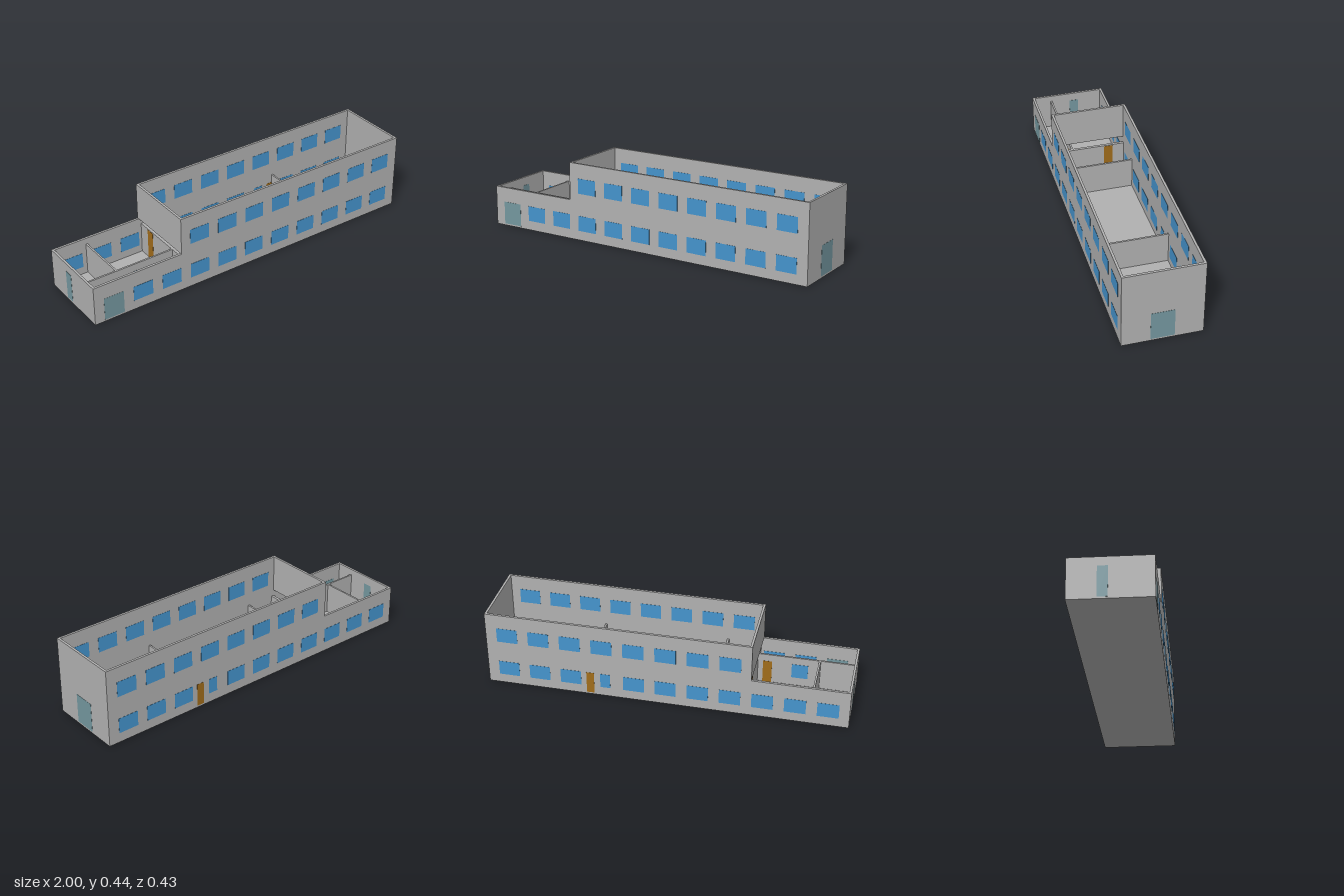
import * as THREE from 'three';

const mat = (name, color) => {
  const m = new THREE.MeshStandardMaterial({ color });
  m.name = name;
  return m;
};

export function createModel() {
  const model = new THREE.Group();
  model.name = 'building';
  const wall = mat('wallGrey', 0xb1b1b1);
  const glass = mat('windowBlue', 0x4594cd);
  const glassDoor = mat('glassDoorTeal', 0x74979f);
  const wood = mat('doorBrown', 0xa06c1a);

  // Box given by its limits on each axis
  const box = (name, m, x0, x1, y0, y1, z0, z1) => {
    const mesh = new THREE.Mesh(new THREE.BoxGeometry(x1 - x0, y1 - y0, z1 - z0), m);
    mesh.position.set((x0 + x1) / 2, (y0 + y1) / 2, (z0 + z1) / 2);
    mesh.name = name;
    model.add(mesh);
  };

  const T = 0.013, D = 0.215, E = 0.001;
  const floor = 0.01, mid = 0.225, top = 0.438, split = -0.47;

  box('floorSlab', wall, -1, 1, 0, floor, -D, D);

  // Outer walls of one storey, open at the top
  const storey = (name, x0, y0, y1) => {
    box(name + 'FrontWall', wall, x0, 1, y0, y1, D - T, D);
    box(name + 'BackWall', wall, x0, 1, y0, y1, -D, -D + T);
    box(name + 'RightEndWall', wall, x0, x0 + T, y0, y1, -D + T, D - T);
    box(name + 'LeftEndWall', wall, 1 - T, 1, y0, y1, -D + T, D - T);
  };
  storey('lower', -1, floor, mid);
  storey('upper', split, mid, top);

  // Panels that pass through a wall and show on both faces
  const alongX = (name, m, x, w, y0, y1, zOut) =>
    box(name, m, x - w / 2, x + w / 2, y0, y1, zOut - E, zOut + T + E);
  const alongZ = (name, m, z0, z1, y0, y1, xOut) =>
    box(name, m, xOut - E, xOut + T + E, y0, y1, z0, z1);
  const front = D - T, back = -D;

  // Windows on a regular spacing
  for (let k = 0; k <= 10; k++) {
    const x = -0.885 + k * 0.1765;
    if (k > 0) alongX('lowerFrontWindow', glass, x, 0.117, 0.054, 0.14, front);
    if (k !== 7) alongX('lowerBackWindow', glass, x, 0.117, 0.054, 0.14, back);
    if (k >= 3) {
      alongX('upperFrontWindow', glass, x, 0.117, 0.268, 0.354, front);
      alongX('upperBackWindow', glass, x, 0.117, 0.268, 0.354, back);
    }
  }
  alongX('smallBackWindow', glass, 0.333, 0.056, 0.054, 0.14, back);

  // Outer doors
  alongX('frontDoor', glassDoor, -0.884, 0.117, floor, 0.14, front);
  alongX('backDoor', wood, 0.417, 0.043, floor, 0.14, back);
  alongZ('leftEndDoor', glassDoor, -0.063, 0.063, floor, 0.176, 1 - T);
  alongZ('rightEndDoor', glassDoor, -0.065, -0.012, floor, 0.176, -1);

  // Low interior partitions
  const h = 0.19, inner = D - T;
  box('corridorWall', wall, -1 + T, -0.457, floor, h, 0.096, 0.106);
  box('roomWall', wall, -0.802, -0.792, floor, h, -inner, 0.096);
  box('hallWall', wall, -0.457, -0.441, floor, h, -inner, inner);
  box('storeWall', wall, -0.275, -0.264, floor, h, -inner, inner);
  box('workshopWall', wall, 0.43, 0.44, floor, h, -inner, inner);

  // Interior doors and window
  box('corridorDoor', wood, -0.535, -0.485, floor, 0.147, 0.095, 0.107);
  box('corridorWindow', glass, -0.735, -0.645, 0.06, 0.147, 0.095, 0.107);
  box('hallDoor', wood, -0.458, -0.44, floor, 0.185, -0.135, -0.085);

  return model;
}
